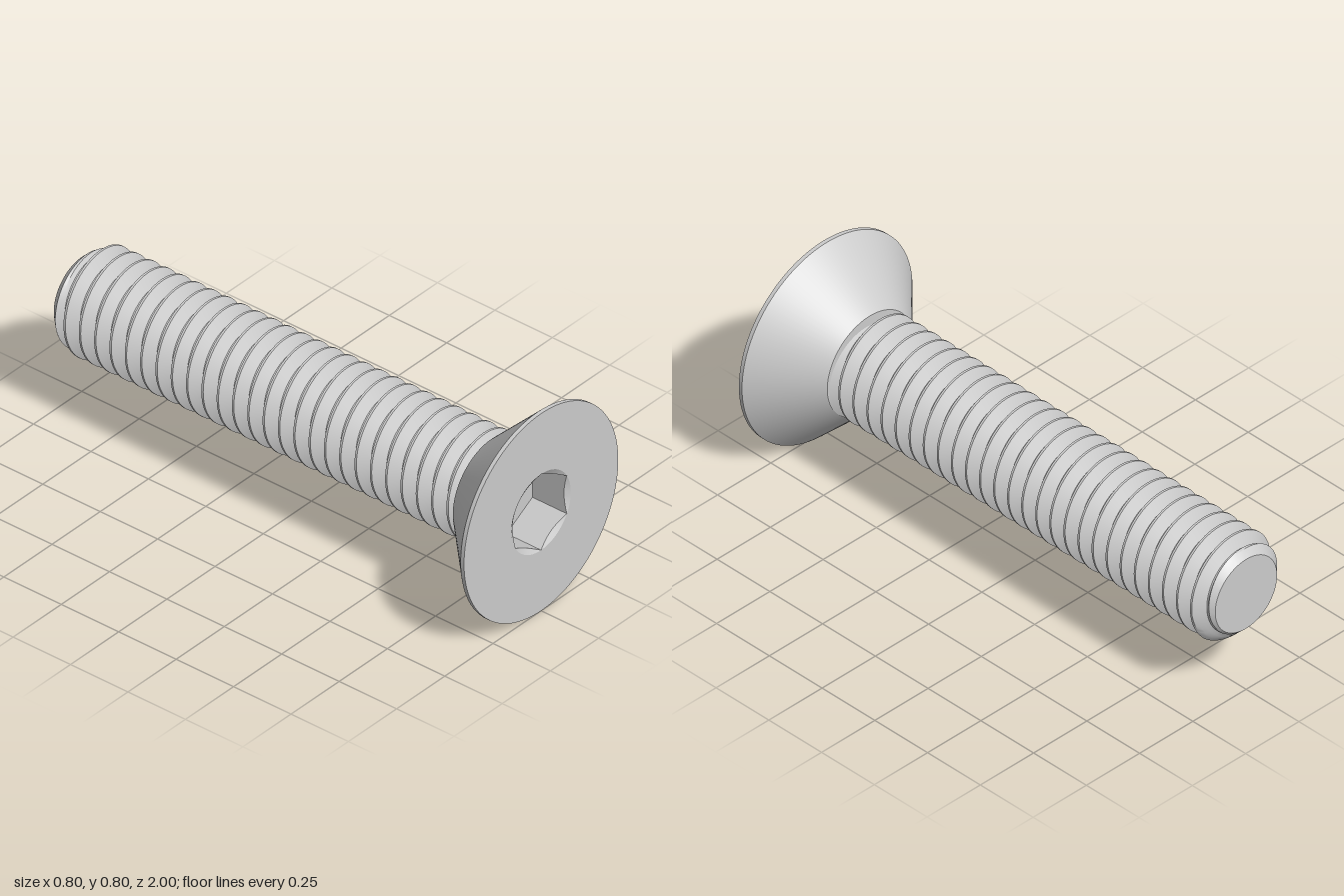
import * as THREE from 'three';
import { toCreasedNormals } from 'three/addons/utils/BufferGeometryUtils.js';

const SEG = 96;
const CREASE = Math.PI / 7;

// Grid surface wrapped round the z axis; at(row, angle) returns [radius, z]
function wrapSurface(rows, at) {
  const pos = [], index = [];
  for (let i = 0; i < rows; i++) {
    for (let j = 0; j <= SEG; j++) {
      const a = (j / SEG) * Math.PI * 2;
      const [r, z] = at(i, a);
      pos.push(r * Math.cos(a), r * Math.sin(a), z);
    }
  }
  for (let i = 0; i < rows - 1; i++) {
    for (let j = 0; j < SEG; j++) {
      const a = i * (SEG + 1) + j, c = a + SEG + 1;
      index.push(a, a + 1, c + 1, a, c + 1, c);
    }
  }
  const g = new THREE.BufferGeometry();
  g.setAttribute('position', new THREE.Float32BufferAttribute(pos, 3));
  g.setIndex(index);
  return toCreasedNormals(g, CREASE);
}

// Countersunk head: flat face, thin rim, 45 degree cone, back ring
function headGeometry() {
  const profile = [[0.14, 0.783], [0.2, 0.783], [0.4, 0.985], [0.4, 1], [0.154, 1]]
    .map(([r, z]) => new THREE.Vector2(r, z));
  const g = new THREE.LatheGeometry(profile, SEG).rotateX(Math.PI / 2);
  return toCreasedNormals(g, CREASE);
}

// Hexagonal socket with a conical lead-in and flat floor
function socketGeometry() {
  const R = 0.154, flat = R * Math.cos(Math.PI / 6), depth = 0.15;
  const hexRadius = (a) => {
    const sector = Math.PI / 3;
    const local = ((a + sector / 2) % sector) - sector / 2; // flats face +x and -x
    return flat / Math.cos(local);
  };
  return wrapSurface(4, (i, a) => {
    const r = hexRadius(a);
    if (i === 0) return [R, 1];
    if (i === 1) return [r, 1 - (R - r) * 0.6];
    return [i === 2 ? r : 0, 1 - depth];
  });
}

// Right-hand helical thread with a chamfered, capped tip
function threadGeometry() {
  const pitch = 1 / 15, crestZ = 0.743, zMin = -1, zMax = 0.79;
  const steps = [-0.45, -0.32, -0.19, -0.0625, 0.0625, 0.19, 0.32, 0.45];
  const firstTurn = -28, turns = 31;
  const lead = (a) => (a - Math.PI / 2) / (Math.PI * 2);
  const radius = (z, a) => {
    const u = (z - crestZ) / pitch - lead(a);
    const t = Math.abs(u - Math.round(u));
    const thread = 0.2 - 0.045 * THREE.MathUtils.clamp((t - 0.0625) / 0.3875, 0, 1);
    return Math.min(thread, 0.145 + (z - zMin));
  };
  return wrapSurface(turns * steps.length + 1, (i, a) => {
    if (i === 0) return [0, zMin];
    const n = i - 1;
    const u = firstTurn + Math.floor(n / steps.length) + steps[n % steps.length];
    const z = THREE.MathUtils.clamp(crestZ + pitch * (u + lead(a)), zMin, zMax);
    return [radius(z, a), z];
  });
}

export function createModel() {
  const model = new THREE.Group();
  model.name = 'countersunkScrew';
  const material = new THREE.MeshStandardMaterial({ color: 0xcccccc });
  const parts = {
    head: headGeometry(),
    hexSocket: socketGeometry(),
    threadedShank: threadGeometry(),
  };
  for (const [name, geometry] of Object.entries(parts)) {
    const mesh = new THREE.Mesh(geometry, material);
    mesh.name = name;
    mesh.position.y = 0.4;
    model.add(mesh);
  }
  return model;
}
